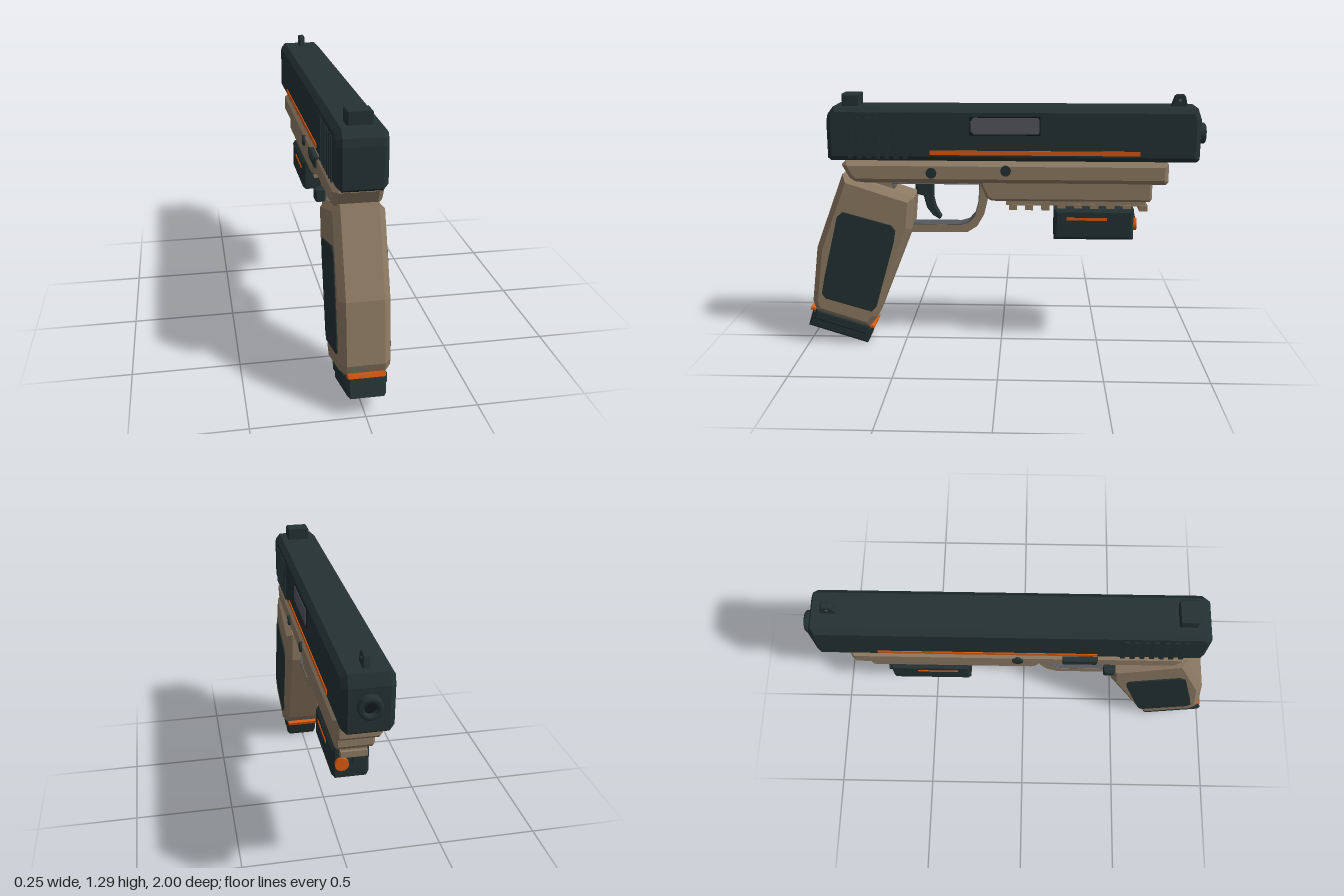
import * as THREE from 'three';

const mat = (name, color, side = THREE.FrontSide) => {
  const m = new THREE.MeshStandardMaterial({ color, side });
  m.name = name;
  return m;
};

export function createModel() {
  const dark = mat('dark slate', 0x243132);
  const tan = mat('tan', 0x8d7a63);
  const orange = mat('orange', 0xd9590f);
  const steel = mat('steel grey', 0x55585e);
  const black = mat('black', 0x12181a);

  const root = new THREE.Group();
  root.name = 'toyPistol';
  const body = new THREE.Group();
  body.name = 'body';
  body.position.x = 0.005;
  root.add(body);

  const add = (name, geo, material, x = 0, y = 0, z = 0, parent = body) => {
    const m = new THREE.Mesh(geo, material);
    m.name = name;
    m.position.set(x, y, z);
    parent.add(m);
    return m;
  };
  const box = (name, material, w, h, d, x, y, z, parent) =>
    add(name, new THREE.BoxGeometry(w, h, d), material, x, y, z, parent);

  const toPoints = pts => pts.map(p => new THREE.Vector2(p[0], p[1]));

  // Side profile in (z, y), extruded across x with chamfered edges
  const profile = (pts, halfWidth, bevel = 0, hole = null) => {
    const shape = new THREE.Shape(toPoints(pts));
    if (hole) shape.holes.push(new THREE.Path(toPoints(hole)));
    const depth = 2 * (halfWidth - bevel);
    const g = new THREE.ExtrudeGeometry(shape, {
      depth, bevelEnabled: bevel > 0, bevelThickness: bevel, bevelSize: bevel,
      bevelOffset: -bevel, bevelSegments: 1,
    });
    g.translate(0, 0, -depth / 2);
    return g.rotateY(-Math.PI / 2);
  };
  // Chamfered block centred on its own origin
  const block = (w, h, d, bevel) => profile(
    [[-d / 2, -h / 2], [d / 2, -h / 2], [d / 2, h / 2], [-d / 2, h / 2]], w / 2, bevel);
  const rod = (r, len, axis) => {
    const g = new THREE.CylinderGeometry(r, r, len, 16);
    return axis === 'x' ? g.rotateZ(Math.PI / 2) : g.rotateX(Math.PI / 2);
  };

  // Slide
  add('slide', profile([
    [-0.965, 0.985], [-0.95, 0.972], [0.835, 0.972], [0.85, 0.985], [0.85, 1.165],
    [0.842, 1.2], [0.815, 1.235], [-0.945, 1.235], [-0.965, 1.18],
  ], 0.11, 0.024), dark);
  for (const s of [-1, 1]) {
    for (let i = 0; i < 7; i++)
      box('slideRib', dark, 0.008, 0.2, 0.022, s * 0.111, 1.085, 0.465 + i * 0.045);
    box('slideStripe', orange, 0.006, 0.022, 1.02, s * 0.111, 1.016, -0.165);
  }

  // Ejection port on the left side
  add('ejectionPortRim', block(0.006, 0.092, 0.342, 0.002), black, 0.11, 1.148, -0.022);
  add('ejectionPort', profile([
    [-0.18, 1.108], [0.13, 1.108], [0.145, 1.125], [0.145, 1.17],
    [0.13, 1.188], [-0.18, 1.188], [-0.188, 1.18], [-0.188, 1.116],
  ], 0.003), steel, 0.112);

  // Sights
  add('rearSight', block(0.112, 0.08, 0.085, 0.006), dark, 0, 1.252, 0.735);
  add('frontSight', profile([
    [-0.91, 1.225], [-0.825, 1.225], [-0.845, 1.285], [-0.855, 1.291], [-0.89, 1.291], [-0.897, 1.28],
  ], 0.015, 0.004), dark);
  add('frontSightPin', rod(0.007, 0.032, 'x'), steel, 0, 1.265, -0.87);

  // Muzzle
  const bore = toPoints([[0.028, -0.03], [0.028, 0.03], [0.045, 0.03], [0.052, 0.022], [0.052, -0.03]]);
  add('muzzleRing', new THREE.LatheGeometry(bore.reverse(), 20).rotateX(-Math.PI / 2), dark, 0, 1.102, -0.97);
  add('muzzleBore', rod(0.03, 0.02, 'z'), black, 0, 1.102, -0.966);

  // Frame and dust cover
  add('frame', profile([
    [-0.82, 0.872], [-0.81, 0.86], [0.725, 0.86], [0.75, 0.885], [0.785, 0.95],
    [0.765, 0.972], [-0.81, 0.972], [-0.82, 0.96],
  ], 0.11, 0.024), tan);
  add('dustCover', profile([
    [-0.745, 0.785], [-0.735, 0.77], [0.045, 0.77], [0.07, 0.785], [0.1, 0.85], [0.1, 0.88], [-0.745, 0.88],
  ], 0.088, 0.012), tan);

  // Accessory rail
  box('rail', tan, 0.11, 0.035, 0.69, 0, 0.76, -0.37);
  for (let i = 0; i < 9; i++)
    box('railTooth', tan, 0.12, 0.03, 0.04, 0, 0.734, -0.06 - i * 0.081);

  // Under-barrel light
  add('lightBody', block(0.17, 0.155, 0.395, 0.014), dark, 0, 0.652, -0.463);
  for (const s of [-1, 1])
    box('lightStripe', orange, 0.006, 0.014, 0.2, s * 0.085, 0.682, -0.427);
  add('lightLens', rod(0.032, 0.025, 'z'), orange, 0.042, 0.65, -0.664);
  add('lightEmitter', rod(0.032, 0.025, 'z'), dark, -0.035, 0.65, -0.664);

  // Trigger guard with a steel inner face
  const opening = [
    [0.105, 0.848], [0.108, 0.76], [0.13, 0.68], [0.16, 0.647], [0.2, 0.635],
    [0.48, 0.635], [0.53, 0.8], [0.548, 0.848],
  ];
  add('triggerGuard', profile([
    [0.07, 0.87], [0.068, 0.76], [0.085, 0.69], [0.12, 0.63], [0.17, 0.598],
    [0.55, 0.595], [0.66, 0.76], [0.66, 0.87],
  ], 0.045, 0, opening), tan);
  const inset = opening.map(([z, y]) => [0.32 + (z - 0.32) * 0.98, 0.745 + (y - 0.745) * 0.965]);
  add('guardLiner', profile(opening, 0.043, 0, inset), steel);
  add('trigger', profile([
    [0.425, 0.86], [0.425, 0.79], [0.39, 0.78], [0.375, 0.72], [0.345, 0.68], [0.312, 0.66],
    [0.302, 0.67], [0.33, 0.72], [0.342, 0.77], [0.34, 0.86],
  ], 0.026, 0.004), dark);

  // Grip and side panels
  add('grip', profile([
    [0.785, 0.9], [0.43, 0.785], [0.445, 0.625], [0.635, 0.15], [0.68, 0.095],
    [0.95, 0.18], [0.967, 0.235], [0.93, 0.52], [0.885, 0.64],
  ], 0.113, 0.03), tan);
  const panel = [
    [0.785, 0.715], [0.545, 0.648], [0.525, 0.62], [0.535, 0.56], [0.635, 0.215], [0.66, 0.19],
    [0.895, 0.258], [0.912, 0.285], [0.895, 0.37], [0.815, 0.69],
  ];
  for (const s of [-1, 1])
    add('gripPanel', profile(panel, 0.0045, 0.002), dark, s * 0.1145);

  // Magazine foot, tilted with the grip
  const foot = new THREE.Group();
  foot.name = 'magazineFoot';
  foot.position.set(0, 0.092, 0.834);
  foot.rotation.x = -0.305;
  body.add(foot);
  add('footPlate', block(0.17, 0.09, 0.32, 0.012), dark, 0, 0, 0, foot);
  add('footCollar', block(0.19, 0.06, 0.29, 0.012), dark, 0, 0.03, 0, foot);
  add('footBand', block(0.168, 0.018, 0.342, 0.004), orange, 0, 0.052, 0, foot);

  // Pins and left-hand controls
  add('crossPin', rod(0.026, 0.24, 'x'), dark, 0, 0.928, -0.025);
  add('triggerPin', rod(0.026, 0.06, 'x'), dark, 0.09, 0.915, 0.34);
  add('slideStop', block(0.03, 0.05, 0.165, 0.006), dark, -0.108, 0.935, 0.27);
  for (let i = 0; i < 4; i++)
    box('slideStopRidge', dark, 0.01, 0.03, 0.012, -0.124, 0.957, 0.225 + i * 0.03);
  add('magazineRelease', block(0.05, 0.055, 0.055, 0.008), dark, -0.108, 0.81, 0.4 + 0.06 * 0.5 - 0.01);

  return root;
}
